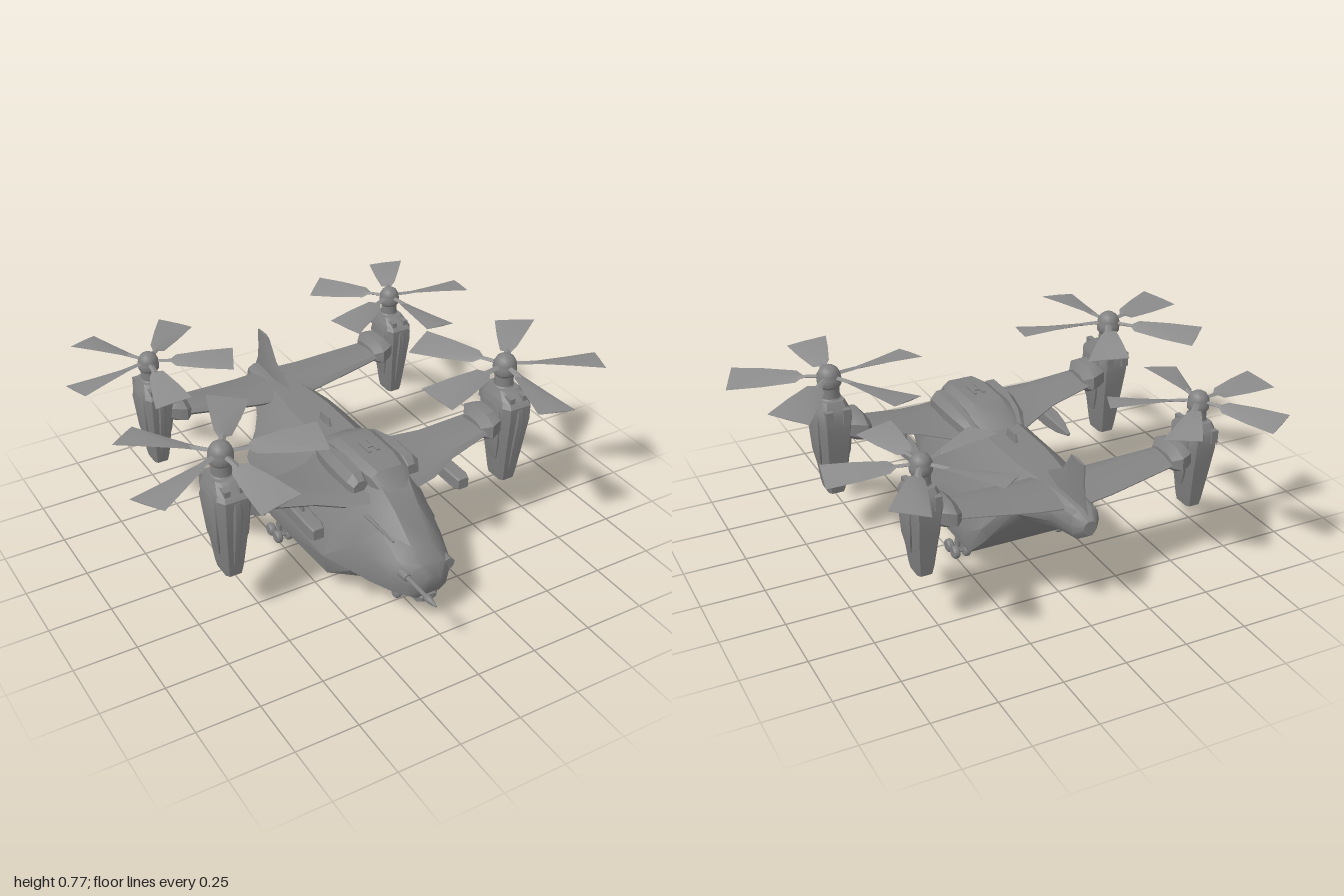
import * as THREE from 'three';
import { toCreasedNormals } from 'three/addons/utils/BufferGeometryUtils.js';

const hullGrey = new THREE.MeshStandardMaterial({ color: 0x828282 });
const bladeGrey = new THREE.MeshStandardMaterial({ color: 0x8c8c8c });

// Closed skin through rings of [x, y, z] points, always wound outwards
function solid(rings, crease = 0.55) {
  const n = rings[0].length, pos = rings.flat(2), idx = [];
  for (let i = 0; i < rings.length - 1; i++)
    for (let j = 0; j < n; j++) {
      const a = i * n + j, b = i * n + (j + 1) % n;
      idx.push(a, b, a + n, b, b + n, a + n);
    }
  const e = (rings.length - 1) * n;
  for (let j = 1; j < n - 1; j++) idx.push(0, j + 1, j, e, e + j, e + j + 1);
  const P = i => new THREE.Vector3().fromArray(pos, i * 3);
  let vol = 0;
  for (let i = 0; i < idx.length; i += 3) vol += P(idx[i]).dot(P(idx[i + 1]).cross(P(idx[i + 2])));
  if (vol < 0) idx.reverse();
  const g = new THREE.BufferGeometry();
  g.setAttribute('position', new THREE.Float32BufferAttribute(pos, 3));
  g.setIndex(idx);
  return toCreasedNormals(g, crease);
}

// Rectangle with cut corners, as [u, v] pairs
function cutRect(u, v, hu, hv, c = 0.35) {
  const a = hu * (1 - c), b = hv * (1 - c);
  return [[a, hv], [hu, b], [hu, -b], [a, -hv], [-a, -hv], [-hu, -b], [-hu, b], [-a, hv]]
    .map(([p, q]) => [u + p, v + q]);
}

// Lofts of cut rectangles along each axis; rows are [station, u, v, halfU, halfV]
const alongZ = (rows, s = 1, c) => solid(rows.map(([z, x, y, hx, hy]) => cutRect(x, y, hx, hy, c).map(p => [p[0] * s, p[1], z])));
const alongY = (rows, s = 1, c) => solid(rows.map(([y, x, z, hx, hz]) => cutRect(x, z, hx, hz, c).map(p => [p[0] * s, y, p[1]])));
const alongX = (rows, s = 1, c) => solid(rows.map(([x, y, z, hy, hz]) => cutRect(y, z, hy, hz, c).map(p => [x * s, p[0], p[1]])));

function add(parent, name, geo, x = 0, y = 0, z = 0, mat = hullGrey) {
  const m = new THREE.Mesh(geo, mat);
  m.name = name;
  m.position.set(x, y, z);
  parent.add(m);
  return m;
}

function rod(parent, name, a, b, r0, r1 = r0) {
  const A = new THREE.Vector3(...a), B = new THREE.Vector3(...b), d = B.clone().sub(A);
  const m = add(parent, name, new THREE.CylinderGeometry(r1, r0, d.length(), 10));
  m.position.copy(A).add(B).multiplyScalar(0.5);
  m.quaternion.setFromUnitVectors(new THREE.Vector3(0, 1, 0), d.normalize());
}

// Wing; rows are [x, y, leading z, trailing z, thickness]
function wing(rows, s) {
  const foil = [[0, 0], [0.08, 0.35], [0.3, 0.5], [0.65, 0.35], [1, 0.04], [1, -0.04], [0.65, -0.35], [0.3, -0.5], [0.08, -0.35]];
  return solid(rows.map(([x, y, le, te, t]) => foil.map(([f, h]) => [x * s, y + h * t, le + (te - le) * f])), 0.7);
}

// Tyre with rounded shoulders
function wheel(parent, x, z, r) {
  const p = [[0, -0.013], [r * 0.8, -0.013], [r, -0.006], [r, 0.006], [r * 0.8, 0.013], [0, 0.013]].map(q => new THREE.Vector2(...q));
  add(parent, 'wheel', toCreasedNormals(new THREE.LatheGeometry(p, 16).rotateZ(Math.PI / 2), 0.6), x, r, z);
}

// Engine nacelle with a five-bladed rotor, origin at the blade plane
function tiltRotor(s, name, startDeg) {
  const g = new THREE.Group();
  g.name = name;
  add(g, 'nacelle', alongY([
    [-0.5, 0, 0.025, 0.034, 0.05], [-0.47, 0, 0.025, 0.04, 0.056], [-0.32, 0, 0.022, 0.056, 0.08],
    [-0.2, 0, 0.02, 0.066, 0.1], [-0.14, 0, 0.02, 0.066, 0.1], [-0.12, 0, 0.015, 0.058, 0.088], [-0.09, 0, 0, 0.045, 0.055]], s, 0.3));
  for (const k of [-1, 1]) {
    add(g, 'sidePanel', alongY([[-0.4, k * 0.045, 0.03, 0.008, 0.02], [-0.33, k * 0.057, 0.025, 0.01, 0.045],
      [-0.18, k * 0.066, 0.018, 0.01, 0.065], [-0.14, k * 0.06, 0.015, 0.01, 0.05]], s));
    add(g, 'exhaust', new THREE.BoxGeometry(0.03, 0.06, 0.03), k * 0.035, -0.145, -0.075);
    add(g, 'intake', new THREE.BoxGeometry(0.024, 0.05, 0.05), k * 0.03, -0.125, 0.08);
  }
  add(g, 'frontSpine', alongY([[-0.44, 0, 0.075, 0.012, 0.012], [-0.2, 0, 0.114, 0.018, 0.014], [-0.15, 0, 0.112, 0.014, 0.01]], s));
  // mast and rounded hub
  const mast = [[0, -0.13], [0.052, -0.13], [0.05, -0.1], [0.038, -0.085], [0.038, -0.045], [0.046, -0.035], [0.048, -0.01],
    [0.045, 0.01], [0.034, 0.03], [0.018, 0.041], [0, 0.044]].map(p => new THREE.Vector2(...p));
  add(g, 'mastAndHub', toCreasedNormals(new THREE.LatheGeometry(mast, 16), 0.6));
  for (let i = 0; i < 5; i++) {
    const a = THREE.MathUtils.degToRad(startDeg + 72 * i), c = Math.cos(a), q = Math.sin(a);
    // rows are radius, half chord, half thickness, pitch slope
    const rows = [[0.03, 0.012, 0.008, 0], [0.1, 0.014, 0.007, 0], [0.125, 0.032, 0.006, 0.35], [0.25, 0.058, 0.005, 0.23], [0.38, 0.081, 0.002, 0.13]];
    add(g, 'rotorBlade', solid(rows.map(([r, h, t, p]) =>
      [[-h, 0], [-h * 0.15, t], [h, 0], [-h * 0.15, -t]].map(([o, v]) => [(r * c - o * q) * s, v + o * p - r * 0.02, r * q + o * c]))), 0, 0, 0, bladeGrey);
  }
  return g;
}

export function createModel() {
  const model = new THREE.Group();
  model.name = 'tiltrotorTransport';

  // Hull: z, top y, top x, then shoulder, waist, sponson and belly (x, y)
  const hull = [
    [0.685, 0.225, 0.015, 0.035, 0.215, 0.042, 0.2, 0.035, 0.18, 0.02, 0.17],
    [0.66, 0.275, 0.03, 0.075, 0.255, 0.092, 0.21, 0.08, 0.15, 0.05, 0.13],
    [0.6, 0.325, 0.04, 0.1, 0.285, 0.13, 0.22, 0.115, 0.145, 0.07, 0.115],
    [0.5, 0.425, 0.05, 0.11, 0.36, 0.16, 0.25, 0.155, 0.14, 0.1, 0.105],
    [0.42, 0.485, 0.06, 0.12, 0.41, 0.175, 0.27, 0.19, 0.15, 0.13, 0.098],
    [0.32, 0.49, 0.08, 0.14, 0.41, 0.205, 0.28, 0.255, 0.18, 0.235, 0.09],
    [0, 0.47, 0.08, 0.15, 0.41, 0.215, 0.28, 0.256, 0.18, 0.245, 0.086],
    [-0.22, 0.47, 0.08, 0.15, 0.41, 0.215, 0.28, 0.256, 0.18, 0.245, 0.086],
    [-0.33, 0.47, 0.07, 0.145, 0.41, 0.205, 0.33, 0.242, 0.25, 0.22, 0.195],
    [-0.41, 0.47, 0.06, 0.11, 0.43, 0.15, 0.38, 0.15, 0.335, 0.11, 0.305],
    [-0.56, 0.465, 0.035, 0.065, 0.44, 0.08, 0.4, 0.07, 0.36, 0.045, 0.325],
    [-0.68, 0.455, 0.025, 0.05, 0.44, 0.057, 0.4, 0.05, 0.365, 0.03, 0.34],
    [-0.72, 0.425, 0.01, 0.022, 0.415, 0.026, 0.4, 0.022, 0.385, 0.01, 0.37]];
  add(model, 'fuselage', solid(hull.map(([z, yt, xt, ...p]) => {
    const half = [[xt, yt]];
    for (let i = 0; i < p.length; i += 2) half.push([p[i], p[i + 1]]);
    return [...half, ...half.slice().reverse().map(([x, y]) => [-x, y])].map(([x, y]) => [x, y, z]);
  }), 0.6));

  // Wing box on the roof, with ridge fittings
  add(model, 'roofFairing', alongZ([[0.45, 0, 0.44, 0.055, 0.02], [0.38, 0, 0.47, 0.08, 0.06], [0.3, 0, 0.475, 0.095, 0.065],
    [0.12, 0, 0.475, 0.095, 0.065], [0.05, 0, 0.46, 0.09, 0.045], [-0.01, 0, 0.45, 0.07, 0.02]]));
  for (const x of [-0.018, 0.018]) add(model, 'roofRail', new THREE.BoxGeometry(0.012, 0.012, 0.08), x, 0.54, 0.23);
  add(model, 'roofRailBar', new THREE.BoxGeometry(0.03, 0.01, 0.02), 0, 0.54, 0.23);
  add(model, 'roofAntenna', alongY([[0.46, 0, -0.1, 0.009, 0.045], [0.505, 0, -0.1, 0.005, 0.032]]));

  // Swept tail fin
  add(model, 'tailFin', solid([[0.44, 0.022, -0.34, -0.7], [0.49, 0.018, -0.42, -0.675], [0.54, 0.012, -0.51, -0.668], [0.625, 0.006, -0.57, -0.665]]
    .map(([y, h, f, b]) => [[0, y, f], [h, y, f * 0.6 + b * 0.4], [0.003, y, b], [-0.003, y, b], [-h, y, f * 0.6 + b * 0.4]])));

  // Nose: refuelling probe, thin sensor, chin turret and sensor ball
  rod(model, 'refuellingProbe', [-0.09, 0.24, 0.55], [-0.09, 0.24, 0.8], 0.012, 0.008);
  rod(model, 'probeCollar', [-0.09, 0.24, 0.785], [-0.09, 0.24, 0.8], 0.014);
  rod(model, 'probeTip', [-0.09, 0.24, 0.8], [-0.09, 0.24, 0.845], 0.014, 0.003);
  rod(model, 'probeSocket', [-0.09, 0.24, 0.6], [-0.09, 0.24, 0.66], 0.022, 0.016);
  rod(model, 'sensorBoom', [-0.125, 0.385, 0.42], [-0.125, 0.385, 0.61], 0.009, 0.004);
  rod(model, 'sensorPod', [0.09, 0.235, 0.57], [0.09, 0.235, 0.66], 0.025);
  add(model, 'chinTurret', alongZ([[0.67, 0, 0.12, 0.03, 0.012], [0.655, 0, 0.12, 0.045, 0.02], [0.6, 0, 0.12, 0.045, 0.02], [0.57, 0, 0.125, 0.03, 0.012]]));

  // Nose gear
  rod(model, 'noseStrut', [0, 0.025, 0.485], [0, 0.13, 0.495], 0.009, 0.012);
  rod(model, 'noseBrace', [0, 0.05, 0.485], [0, 0.12, 0.455], 0.006);
  rod(model, 'noseAxle', [-0.03, 0.024, 0.485], [0.03, 0.024, 0.485], 0.006);
  for (const x of [-0.022, 0.022]) wheel(model, x, 0.485, 0.024);

  for (const s of [1, -1]) {
    const side = new THREE.Group();
    side.name = s > 0 ? 'leftSide' : 'rightSide';
    model.add(side);

    add(side, 'frontWing', wing([[0.06, 0.43, 0.43, -0.02, 0.06], [0.19, 0.432, 0.4, 0.07, 0.055], [0.3, 0.455, 0.355, 0.12, 0.045], [0.53, 0.495, 0.315, 0.16, 0.04]], s));
    add(side, 'rearWing', wing([[0.03, 0.44, -0.37, -0.63, 0.06], [0.15, 0.445, -0.385, -0.615, 0.05], [0.48, 0.48, -0.425, -0.57, 0.04]], s));
    add(side, 'frontWingFairing', alongX([[0.47, 0.49, 0.24, 0.03, 0.06], [0.5, 0.5, 0.24, 0.055, 0.1], [0.53, 0.505, 0.24, 0.055, 0.09], [0.57, 0.51, 0.24, 0.045, 0.07]], s, 0.5));
    add(side, 'rearWingFairing', alongX([[0.43, 0.478, -0.5, 0.028, 0.07], [0.46, 0.485, -0.5, 0.05, 0.1], [0.49, 0.49, -0.5, 0.05, 0.09], [0.53, 0.495, -0.5, 0.04, 0.06]], s, 0.5));

    // Tilt rotors, the rear pair smaller
    const front = tiltRotor(s, 'frontRotor', 24), rear = tiltRotor(s, 'rearRotor', 11);
    front.position.set(0.615 * s, 0.725, 0.235);
    rear.position.set(0.56 * s, 0.7, -0.525);
    rear.scale.setScalar(0.88);
    side.add(front, rear);

    // Engine bulge beside the roof
    add(side, 'engineBulge', alongZ([[0.36, 0.11, 0.465, 0.032, 0.03], [0.33, 0.112, 0.47, 0.045, 0.05], [0.2, 0.11, 0.47, 0.046, 0.052],
      [0.08, 0.1, 0.46, 0.038, 0.04], [0.01, 0.09, 0.445, 0.02, 0.015]], s, 0.6));

    // Pod hung below the wing
    add(side, 'wingPod', alongZ([[0.41, 0.32, 0.365, 0.022, 0.022], [0.38, 0.32, 0.365, 0.03, 0.03], [0.18, 0.32, 0.365, 0.03, 0.03],
      [0.1, 0.32, 0.362, 0.022, 0.022], [0.02, 0.32, 0.36, 0.006, 0.005]], s, 0.2));
    add(side, 'podPylon', new THREE.BoxGeometry(0.01, 0.09, 0.09), 0.32 * s, 0.42, 0.25);

    // Main gear with two pairs of wheels
    rod(side, 'mainStrut', [0.23 * s, 0.03, -0.08], [0.225 * s, 0.12, -0.08], 0.01, 0.013);
    rod(side, 'mainBrace', [0.23 * s, 0.05, -0.08], [0.225 * s, 0.11, -0.03], 0.006);
    rod(side, 'bogieBeam', [0.23 * s, 0.027, -0.05], [0.23 * s, 0.027, -0.108], 0.007);
    for (const z of [-0.05, -0.108]) {
      rod(side, 'mainAxle', [0.205 * s, 0.027, z], [0.255 * s, 0.027, z], 0.006);
      for (const x of [0.207, 0.253]) wheel(side, x * s, z, 0.027);
    }
  }
  return model;
}
